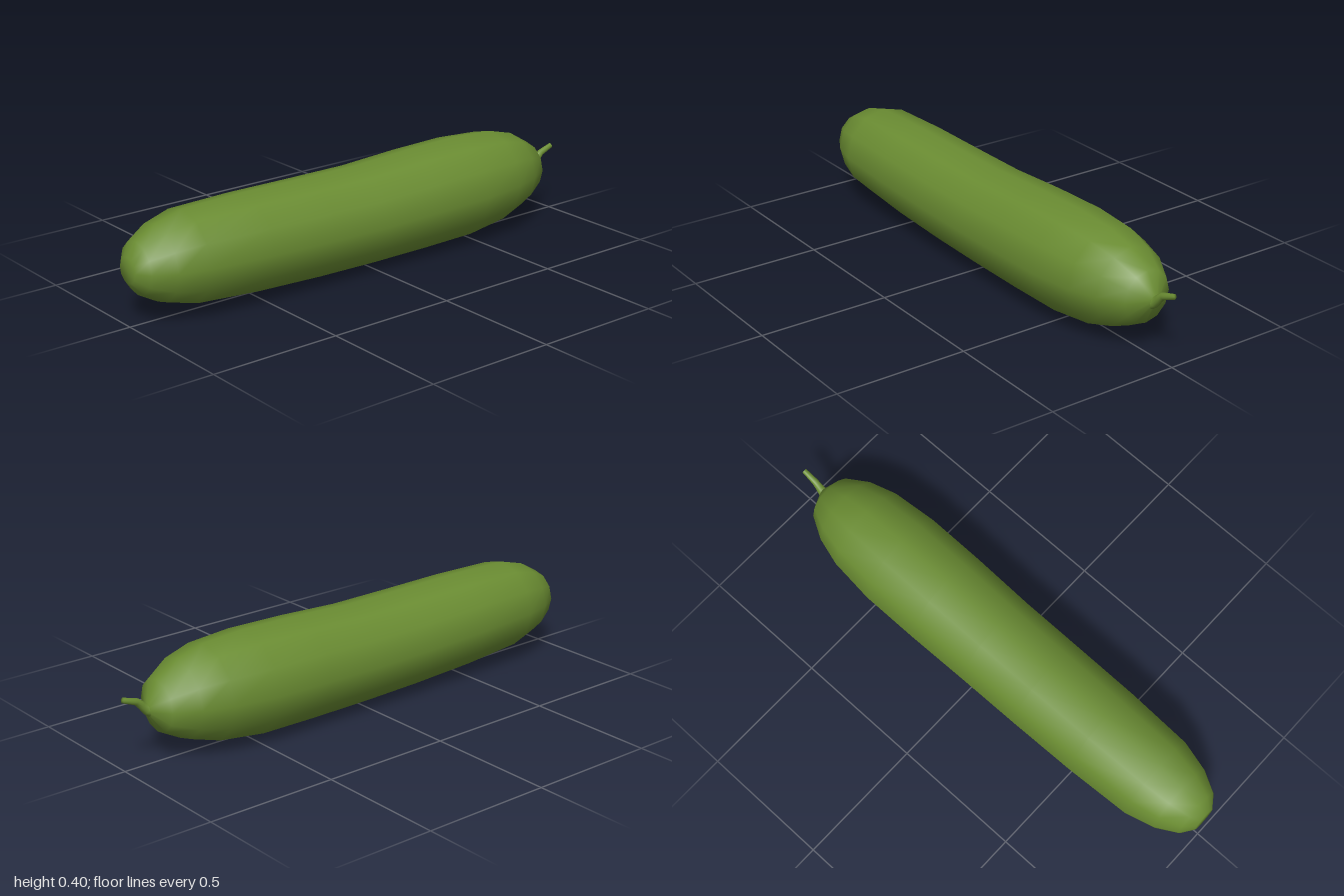
import * as THREE from 'three';
import { mergeVertices } from 'three/addons/utils/BufferGeometryUtils.js';

const SIDES = 12;

// Skins round rings running front to back: [z, centre y, radius, upward tilt]
function loft(rings) {
  const positions = [];
  const index = [];
  rings.forEach(([z, y, r, tilt = 0], i) => {
    for (let j = 0; j < SIDES; j++) {
      const a = (j / SIDES) * Math.PI * 2;
      const up = r * Math.cos(a);
      positions.push(r * Math.sin(a), y + up * Math.cos(tilt), z + up * Math.sin(tilt));
      if (i === rings.length - 1) continue;
      const k = (j + 1) % SIDES;
      const p = i * SIDES + j, q = i * SIDES + k;
      if (r > 0) index.push(p, q, p + SIDES);
      if (rings[i + 1][2] > 0) index.push(q, q + SIDES, p + SIDES);
    }
  });
  const geometry = new THREE.BufferGeometry();
  geometry.setAttribute('position', new THREE.Float32BufferAttribute(positions, 3));
  geometry.setIndex(index);
  // Weld the poles so each end shades smoothly
  const welded = mergeVertices(geometry);
  welded.computeVertexNormals();
  return welded;
}

export function createModel() {
  const group = new THREE.Group();
  group.name = 'cucumber';

  const green = new THREE.MeshStandardMaterial({ color: 0x6a8c32 });
  green.name = 'cucumber green';

  const add = (name, rings) => {
    const mesh = new THREE.Mesh(loft(rings), green);
    mesh.name = name;
    group.add(mesh);
  };

  // Long, slightly sagging fruit with blunt rounded ends
  add('body', [
    [1.0, 0.21, 0],
    [1.0, 0.21, 0.048],
    [0.965, 0.21, 0.097],
    [0.885, 0.21, 0.142],
    [0.775, 0.21, 0.172],
    [0.52, 0.203, 0.184],
    [0.25, 0.196, 0.188],
    [0, 0.193, 0.19],
    [-0.25, 0.199, 0.196],
    [-0.48, 0.203, 0.197],
    [-0.66, 0.209, 0.18],
    [-0.77, 0.212, 0.148],
    [-0.86, 0.21, 0.097],
    [-0.9, 0.21, 0.022],
    [-0.9, 0.21, 0],
  ]);

  // Thin stem that rises, then bends backward
  add('stem', [
    [-0.885, 0.203, 0.028, 0.2],
    [-0.903, 0.208, 0.019, 0.6],
    [-0.922, 0.228, 0.015, 0.8],
    [-0.942, 0.246, 0.013, 0.6],
    [-0.996, 0.265, 0.01, 0.35],
    [-0.996, 0.265, 0],
  ]);

  return group;
}
